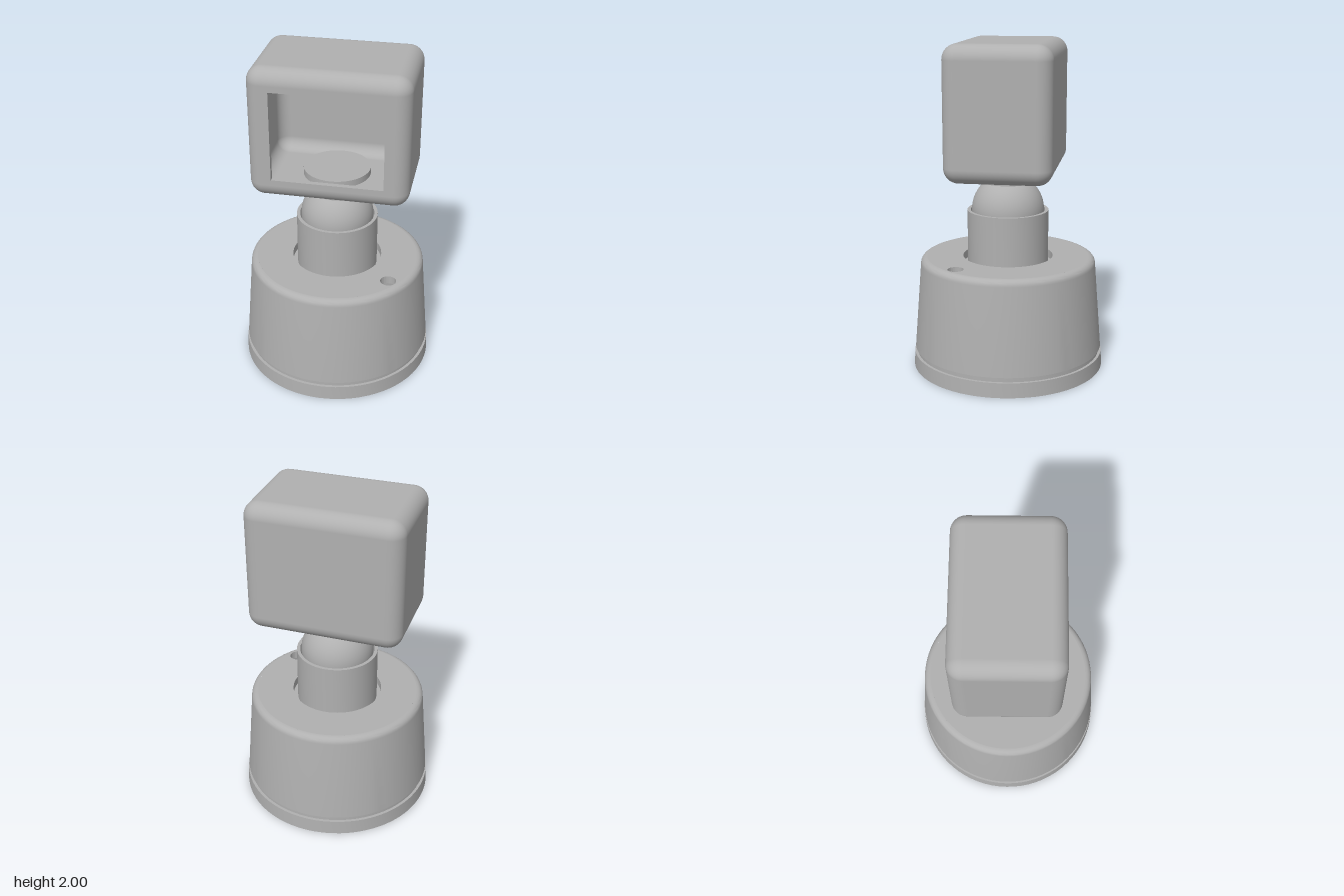
import * as THREE from 'three';
import { toCreasedNormals } from 'three/addons/utils/BufferGeometryUtils.js';
import { RoundedBoxGeometry } from 'three/addons/geometries/RoundedBoxGeometry.js';

const grey = new THREE.MeshStandardMaterial({ color: 0xb0b0b0 });
grey.name = 'plain grey';

export function createModel() {
  const model = new THREE.Group();
  model.name = 'swivelHeadStand';

  const add = (name, geometry, x = 0, y = 0, z = 0, parent = model) => {
    const mesh = new THREE.Mesh(geometry, grey);
    mesh.name = name;
    mesh.position.set(x, y, z);
    parent.add(mesh);
    return mesh;
  };

  // Profile runs anticlockwise: up the outside, down the inside
  const lathe = (points) => toCreasedNormals(
    new THREE.LatheGeometry(points.map(([r, y]) => new THREE.Vector2(r, y)), 72), 0.5);

  const circle = (x, y, r) => new THREE.Path().absarc(x, y, r, 0, Math.PI * 2, true);

  const extrude = (shape, depth) => toCreasedNormals(
    new THREE.ExtrudeGeometry(shape, { depth, bevelEnabled: false, curveSegments: 48 }), 0.5);

  // Rounded box without its flat front; optionally turned inside out
  const openBox = (w, h, d, radius, inward) => {
    const source = new RoundedBoxGeometry(w, h, d, 6, radius);
    const p = source.attributes.position, n = source.attributes.normal;
    const positions = [], normals = [], sign = inward ? -1 : 1;
    for (let i = 0; i < p.count; i += 3) {
      if ([0, 1, 2].every((k) => p.getZ(i + k) > d / 2 - 1e-4)) continue;
      for (const k of inward ? [0, 2, 1] : [0, 1, 2]) {
        positions.push(p.getX(i + k), p.getY(i + k), p.getZ(i + k));
        normals.push(sign * n.getX(i + k), sign * n.getY(i + k), sign * n.getZ(i + k));
      }
    }
    const geometry = new THREE.BufferGeometry();
    geometry.setAttribute('position', new THREE.Float32BufferAttribute(positions, 3));
    geometry.setAttribute('normal', new THREE.Float32BufferAttribute(normals, 3));
    return geometry;
  };

  // Hollow tapered base with a groove near the foot and a rounded shoulder
  const shoulder = [];
  for (let i = 0; i <= 6; i++) {
    const a = (i / 6) * Math.PI / 2;
    shoulder.push([0.496 + 0.04 * Math.cos(a), 0.65 + 0.04 * Math.sin(a)]);
  }
  add('baseShell', lathe([
    [0.49, 0.64], [0.537, 0], [0.587, 0], [0.583, 0.09], [0.566, 0.09],
    [0.566, 0.12], [0.578, 0.12], ...shoulder,
  ]));

  // Base roof with the collar hole and a small cable hole
  const roof = new THREE.Shape().absarc(0, 0, 0.496, 0, Math.PI * 2);
  roof.holes.push(circle(0, 0, 0.275), circle(0.36, -0.255, 0.048));
  add('baseRoof', extrude(roof, 0.05).rotateX(-Math.PI / 2), 0, 0.64);

  // Collar cup standing in the roof hole, with a hidden mounting flange
  add('collar', lathe([
    [0, 0.5], [0.245, 0.5], [0.245, 0.6], [0.32, 0.6], [0.32, 0.64], [0.247, 0.64],
    [0.247, 0.98], [0.227, 0.98], [0.227, 0.54], [0, 0.54],
  ]));

  // Ball joint, cut off under the neck flange
  add('ball', new THREE.SphereGeometry(0.22, 64, 32, 0, Math.PI * 2, 0.57, Math.PI - 0.57), 0, 0.98);
  add('neckFlange', new THREE.CylinderGeometry(0.163, 0.163, 0.027, 64), 0, 1.1675);

  // Ring of six pins carrying the head
  for (let i = 0; i < 6; i++) {
    const a = (i * Math.PI) / 3;
    add('neckPin', new THREE.CylinderGeometry(0.011, 0.011, 0.1, 16),
      0.12 * Math.cos(a), 1.225, 0.12 * Math.sin(a));
  }

  // Hollow head
  const head = new THREE.Group();
  head.name = 'head';
  head.position.y = 1.605;
  model.add(head);
  add('headShell', openBox(0.93, 0.79, 0.63, 0.09, false), 0, 0, 0, head);
  add('headCavity', openBox(0.83, 0.69, 0.55, 0.075, true), 0, 0, 0.01, head);

  // Front frame around the window
  const rectangle = (path, x, y) => path.moveTo(-x, -y).lineTo(x, -y).lineTo(x, y).lineTo(-x, y).closePath();
  const frame = rectangle(new THREE.Shape(), 0.375, 0.305);
  frame.holes.push(rectangle(new THREE.Path(), 0.325, 0.27));
  add('windowFrame', extrude(frame, 0.03), 0, 0, 0.285, head);

  // Disc on the cavity floor that holds the pins
  add('floorDisc', new THREE.CylinderGeometry(0.2, 0.2, 0.045, 64), 0, -0.3275, 0, head);

  return model;
}
